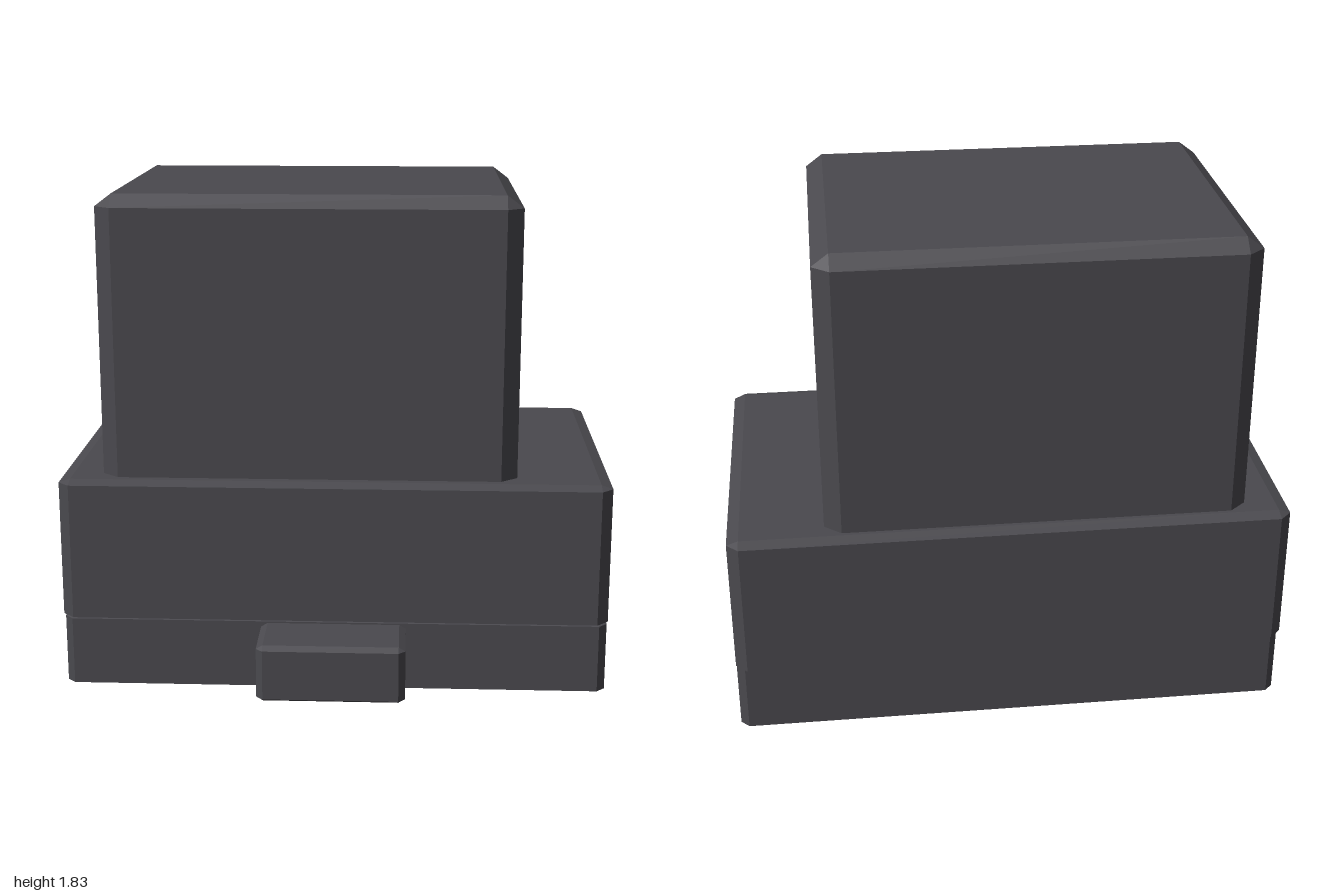
import * as THREE from 'three';

// Bevelled block lofted along x. min/max are corners; bevel is [x, y top, z, y bottom].
// hole, if given, is [y0, y1, z0, z1] of a tunnel running through along x.
function bevelledBlock([x0, y0, z0], [x1, y1, z1], [bx, by, bz, bb = by], hole) {
  const yt = y1 - by, yb = y0 + bb, zf = z1 - bz, zr = z0 + bz;
  const octagon = [[y1, zf], [yt, z1], [yb, z1], [y0, zf], [y0, zr], [yb, z0], [yt, z0], [y1, zr]];
  // rectangle with doubled corners, so that it pairs with the octagon
  const rect = (a, b, c, d) => [[b, d], [b, d], [a, d], [a, d], [a, c], [a, c], [b, c], [b, c]];
  const end = rect(yb, yt, zr, zf);
  const ym = (y0 + y1) / 2, zm = (z0 + z1) / 2;
  const inner = hole ? rect(...hole) : rect(ym, ym, zm, zm);
  const at = (x, ring) => ring.map(([y, z]) => new THREE.Vector3(x, y, z));
  const rings = [
    at(x0, inner), at(x0, end), at(x0 + bx, octagon),
    at(x1 - bx, octagon), at(x1, end), at(x1, inner),
  ];
  if (hole) rings.push(rings[0]); // tunnel walls

  const positions = [];
  const triangle = (a, b, c) => {
    const area = b.clone().sub(a).cross(c.clone().sub(a)).length();
    if (area > 1e-8) positions.push(...a.toArray(), ...b.toArray(), ...c.toArray());
  };
  for (let i = 0; i < rings.length - 1; i++) {
    for (let j = 0; j < 8; j++) {
      const k = (j + 1) % 8;
      const a = rings[i][j], b = rings[i + 1][j], c = rings[i + 1][k], d = rings[i][k];
      triangle(a, d, b);
      triangle(d, c, b);
    }
  }
  const geometry = new THREE.BufferGeometry();
  geometry.setAttribute('position', new THREE.Float32BufferAttribute(positions, 3));
  geometry.computeVertexNormals();
  return geometry;
}

export function createModel() {
  const group = new THREE.Group();
  const charcoal = new THREE.MeshStandardMaterial({ color: 0x4a494e });
  charcoal.name = 'charcoal';

  const add = (name, ...block) => {
    const mesh = new THREE.Mesh(bevelledBlock(...block), charcoal);
    mesh.name = name;
    group.add(mesh);
  };

  // stacked plinth
  add('base', [-1, 0, -0.685], [1, 0.27, 0.47], [0.03, 0.008, 0.03]);
  add('body', [-1, 0.268, -0.73], [1, 0.8, 0.51], [0.042, 0.014, 0.042]);
  // open-ended housing, set off-centre
  add('housing', [-0.843, 0.8, -0.687], [0.66, 1.825, 0.467], [0.06, 0.045, 0.052, 0.008],
    [0.912, 1.67, -0.58, 0.357]);
  // small tab on the front of the base
  add('frontTab', [-0.267, 0.055, 0.468], [0.264, 0.265, 0.732], [0.024, 0.014, 0.024]);

  return group;
}
